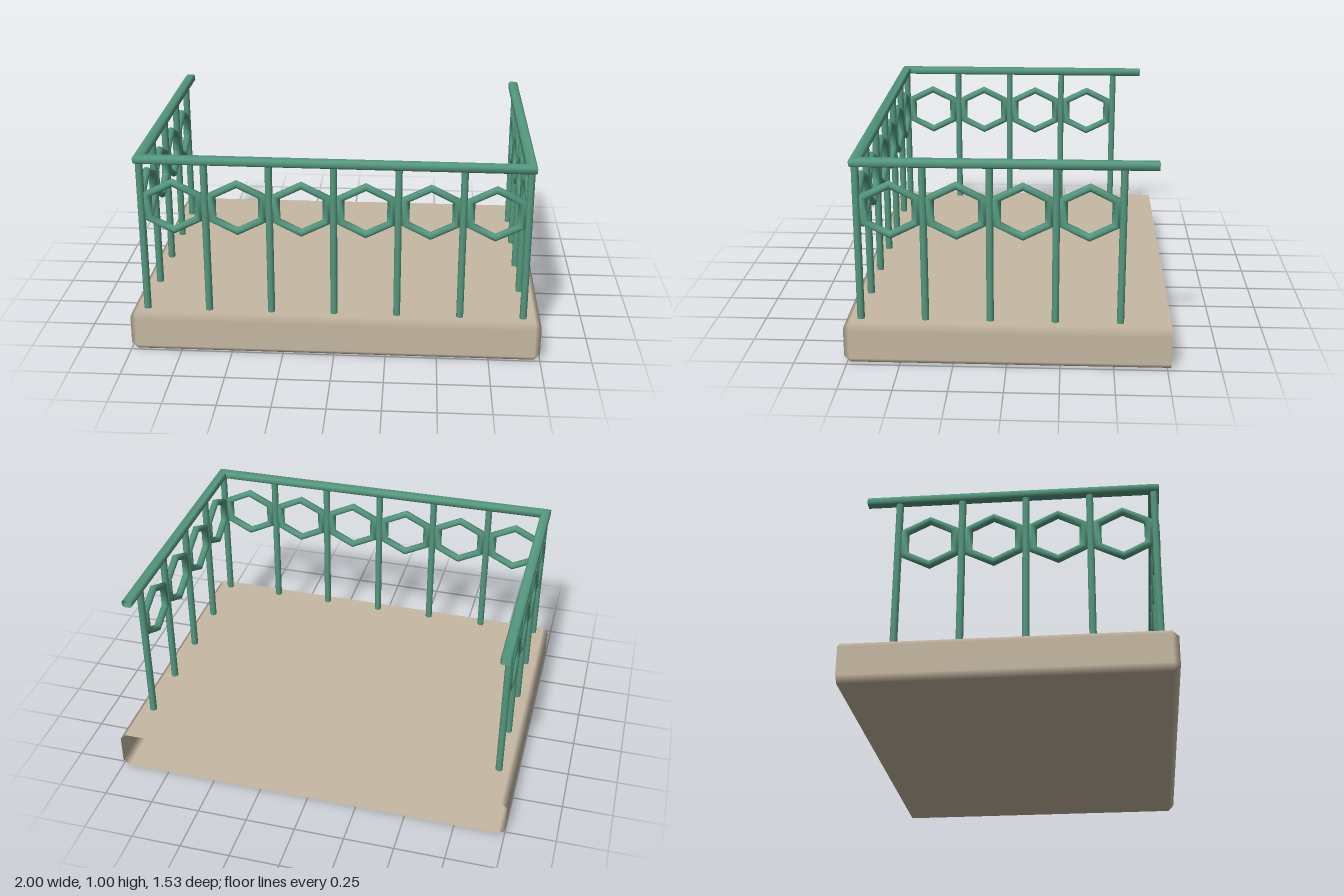
import * as THREE from 'three';
import { toCreasedNormals } from 'three/addons/utils/BufferGeometryUtils.js';

const stone = new THREE.MeshStandardMaterial({ color: 0xc6b8a3, side: THREE.DoubleSide });
stone.name = 'sandstone';
const green = new THREE.MeshStandardMaterial({ color: 0x559980, side: THREE.DoubleSide });
green.name = 'green painted metal';

const LEFT = 0.913, RIGHT = -0.92, FRONT = 0.687, STEP = 0.3055, BACK = -0.685;

// Hollow slab, bevelled on the front and sides, open at the back
function slabGeometry() {
  const b = 0.03, f = 0.765, r = -0.768;
  const outline = [[-1, r, -1, 0], [-1, f - b, -1, 0], [-1 + b, f, 0, 1],
    [1 - b, f, 0, 1], [1, f - b, 1, 0], [1, r, 1, 0]];
  const levels = [[0, -1], [b, 0], [0.2 - b, 0], [0.2, 1]];
  const pos = [], nor = [], idx = [];
  for (const [y, cap] of levels) {
    for (const [x, z, nx, nz] of outline) {
      if (cap) pos.push(Math.sign(x) * (1 - b), y, Math.min(z, f - b));
      else pos.push(x, y, z);
      nor.push(cap ? 0 : nx, cap, cap ? 0 : nz);
    }
  }
  for (let l = 0; l < 3; l++) {
    for (let i = 0; i < 5; i++) {
      const a = l * 6 + i, c = a + 6;
      idx.push(a, a + 1, c + 1, a, c + 1, c);
    }
  }
  idx.push(0, 5, 4, 0, 4, 1, 18, 19, 22, 18, 22, 23); // bottom and top
  const g = new THREE.BufferGeometry();
  g.setAttribute('position', new THREE.Float32BufferAttribute(pos, 3));
  g.setAttribute('normal', new THREE.Float32BufferAttribute(nor, 3));
  g.setIndex(idx);
  return g;
}

// Bevelled rail swept around three sides with mitred corners
function railGeometry() {
  const w = 0.025, h = 0.019, c = 0.008;
  const profile = [[w, -h + c], [w, h - c], [w - c, h], [-w + c, h],
    [-w, h - c], [-w, -h + c], [-w + c, -h], [w - c, -h]];
  // x, y, z, then the outward offset direction
  const stations = [[RIGHT, 0.976, BACK, -1, 0], [RIGHT, 0.976, FRONT, -1, 1],
    [LEFT, 0.966, FRONT, 1, 1], [LEFT, 0.966, BACK, 1, 0]];
  const pos = [], idx = [], n = profile.length;
  for (const [x, y, z, ox, oz] of stations) {
    for (const [u, v] of profile) pos.push(x + ox * u, y + v, z + oz * u);
  }
  for (let s = 0; s < 3; s++) {
    for (let i = 0; i < n; i++) {
      const a = s * n + i, b = s * n + (i + 1) % n;
      idx.push(a, a + n, b + n, a, b + n, b);
    }
  }
  const g = new THREE.BufferGeometry();
  g.setAttribute('position', new THREE.Float32BufferAttribute(pos, 3));
  g.setIndex(idx);
  return toCreasedNormals(g, 1);
}

export function createModel() {
  const model = new THREE.Group();
  model.name = 'balcony';
  const add = (name, geometry, material, x = 0, y = 0, z = 0, turn = 0) => {
    const mesh = new THREE.Mesh(geometry, material);
    mesh.name = name;
    mesh.position.set(x, y, z);
    mesh.rotation.y = turn;
    model.add(mesh);
  };

  add('floorSlab', slabGeometry(), stone);
  add('handrail', railGeometry(), green);

  const post = new THREE.CylinderGeometry(0.018, 0.018, 0.78, 8);
  post.rotateY(Math.PI / 8);
  const hexagon = new THREE.TorusGeometry(0.12, 0.02, 8, 6);
  hexagon.rotateZ(Math.PI / 6);
  hexagon.scale(1.155, 1, 1);

  // Front posts and hexagons
  for (let i = 0; i < 7; i++) {
    const x = RIGHT + i * STEP;
    add('frontPost', post, green, x, 0.57, FRONT);
    if (i < 6) add('frontHexagon', hexagon, green, x + STEP / 2, 0.74, FRONT);
  }
  // Side posts and hexagons
  for (const x of [RIGHT, LEFT]) {
    for (let i = 0; i < 4; i++) {
      const z = FRONT - (i + 1) * 0.304;
      add('sidePost', post, green, x, 0.57, z);
      add('sideHexagon', hexagon, green, x, 0.74, z + 0.152, Math.PI / 2);
    }
  }
  return model;
}
